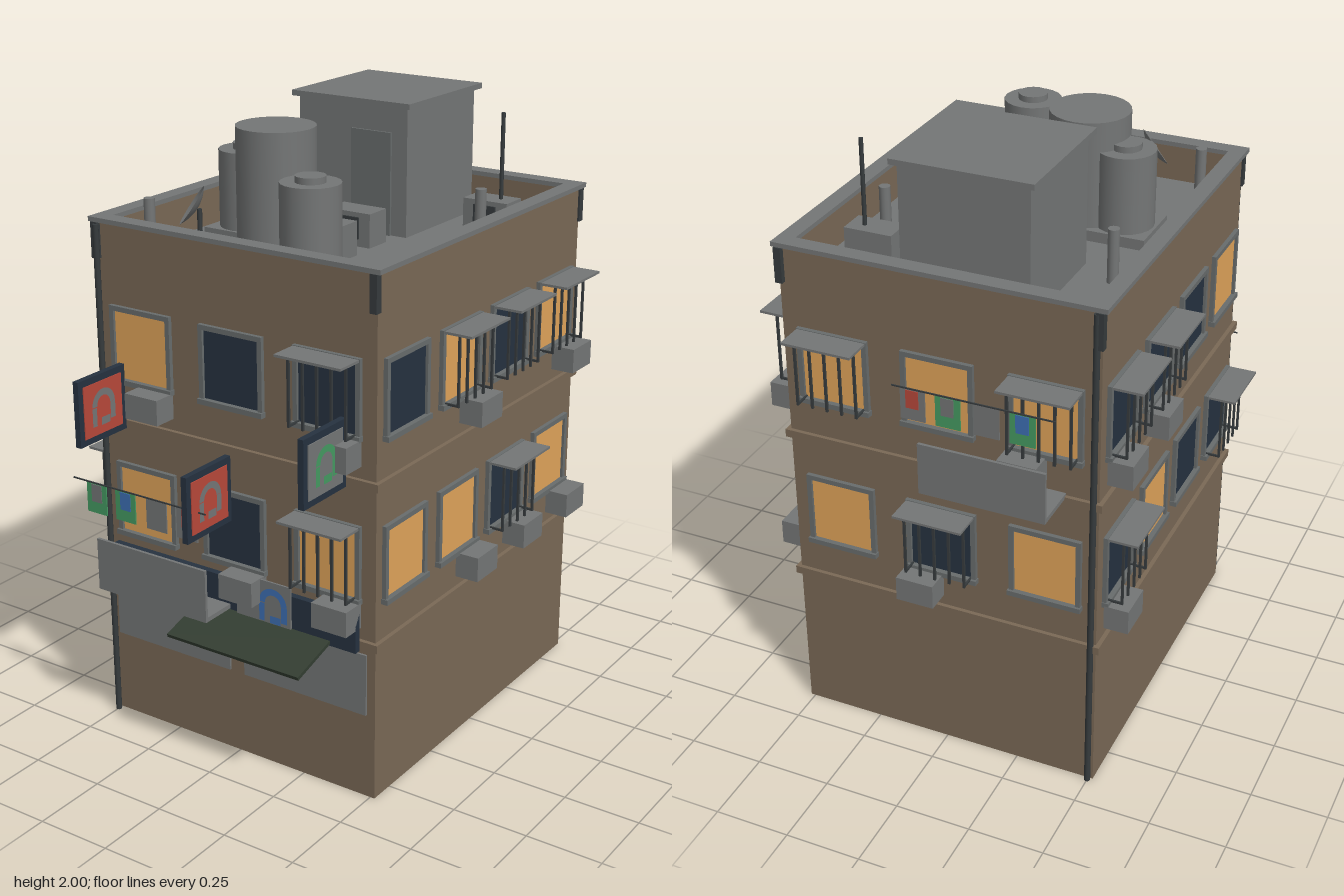
import * as THREE from 'three';

const mat = (name, color) => {
  const m = new THREE.MeshStandardMaterial({ color, side: THREE.DoubleSide });
  m.name = name;
  return m;
};

export function createModel() {
  const wall = mat('brown wall', 0x7a6956), gray = mat('concrete gray', 0x747676), amber = mat('lit amber', 0xe0a45a);
  const navy = mat('dark navy', 0x263240), iron = mat('dark iron', 0x363b3d), canvas = mat('awning green', 0x333d31);
  const red = mat('red', 0xb8483a), green = mat('green', 0x459a62), blue = mat('blue', 0x3d6fb4), frameGray = mat('frame gray', 0x686c6c);
  const root = new THREE.Group();
  root.name = 'apartmentBlock';

  const add = (parent, name, geo, m, x = 0, y = 0, z = 0) => {
    const mesh = new THREE.Mesh(geo, m);
    mesh.name = name;
    mesh.position.set(x, y, z);
    parent.add(mesh);
    return mesh;
  };
  // Box given by its lower and upper limits on each axis
  const box = (parent, name, m, x0, x1, y0, y1, z0, z1) => add(parent, name,
    new THREE.BoxGeometry(x1 - x0, y1 - y0, z1 - z0), m, (x0 + x1) / 2, (y0 + y1) / 2, (z0 + z1) / 2);
  const cyl = (parent, name, m, r, x, z, y0, y1, n = 24) =>
    add(parent, name, new THREE.CylinderGeometry(r, r, y1 - y0, n), m, x, (y0 + y1) / 2, z);
  // Rectangular ring lying flat, as four boxes
  const ring = (name, m, hx, z0, z1, y0, y1, t) => {
    box(root, name, m, -hx, hx, y0, y1, z1 - t, z1);
    box(root, name, m, -hx, hx, y0, y1, z0, z0 + t);
    for (const s of [-1, 1]) box(root, name, m, s > 0 ? hx - t : -hx, s > 0 ? hx : -hx + t, y0, y1, z0 + t, z1 - t);
  };

  // Main walls, parapet, cornice and floor bands
  const X = 0.515, ZF = 0.585, ZB = -0.635;
  box(root, 'walls', wall, -X, X, 0, 1.555, ZB, ZF);
  box(root, 'roofFloor', gray, -X + 0.03, X - 0.03, 1.555, 1.565, ZB + 0.03, ZF - 0.03);
  ring('parapet', wall, X, ZB, ZF, 1.555, 1.685, 0.035);
  ring('cornice', gray, 0.532, -0.648, 0.6, 1.685, 1.7, 0.055);
  for (const y of [0.525, 1.045]) ring('floorBand', wall, 0.529, -0.648, 0.599, y - 0.013, y + 0.013, 0.03);

  // Downpipes and corner brackets
  for (const z of [0.603, -0.645]) cyl(root, 'downpipe', iron, 0.01, -0.5, z, 0, 1.68, 10);
  for (const x of [-0.51, 0.51]) for (const z of [0.59, -0.64])
    box(root, 'cornerBracket', iron, x - 0.012, x + 0.012, 1.57, 1.685, z - 0.012, z + 0.012);

  // Window units: local +z points out of the wall, y = 0 at the lower edge
  const makeWindow = (face, u, y, [pane, caged, cooler], side) => {
    const w = new THREE.Group();
    w.name = 'window';
    w.position.set(u, y, 0);
    face.add(w);
    box(w, 'pane', pane, -0.108, 0.108, 0.012, 0.235, 0, 0.005);
    for (const s of [-1, 1]) box(w, 'frameSide', frameGray, s * 0.11 - 0.008, s * 0.11 + 0.008, 0, 0.245, 0, 0.014);
    box(w, 'frameTop', frameGray, -0.118, 0.118, 0.232, 0.248, 0, 0.014);
    box(w, 'sill', frameGray, -0.121, 0.121, -0.004, 0.013, 0, 0.022);
    if (caged) {
      box(w, 'windowHood', gray, -0.115, 0.115, 0.238, 0.246, 0, 0.108);
      for (let i = 0; i < 5; i++) box(w, 'cageBar', iron, -0.1 + i * 0.05 - 0.004, -0.1 + i * 0.05 + 0.004, 0.01, 0.24, 0.055, 0.062);
      for (const s of [-1, 1]) box(w, 'cageArm', iron, s * 0.1 - 0.003, s * 0.1 + 0.003, 0.01, 0.017, 0, 0.06);
    }
    if (cooler) box(w, 'airConditioner', gray, side * 0.058 - 0.063, side * 0.058 + 0.063, -0.08, 0.002, 0.008, 0.088);
  };
  // Each entry: pane colour, caged, with air conditioner; upper row then lower row
  const A = amber, D = navy;
  const faces = [
    { name: 'frontWindows', rot: 0, p: [0, ZF], us: [-0.347, 0, 0.347], side: 1,
      rows: [[[A, 0, 1], [D, 0, 0], [D, 1, 1]], [[A, 0, 0], [D, 0, 1], [A, 1, 1]]] },
    { name: 'leftWindows', rot: Math.PI / 2, p: [X, 0], us: [-0.434, -0.127, 0.175, 0.476], side: 1,
      rows: [[[D, 0, 0], [A, 1, 1], [D, 1, 0], [A, 1, 1]], [[A, 0, 0], [A, 0, 1], [D, 1, 1], [A, 0, 1]]] },
    { name: 'backWindows', rot: Math.PI, p: [0, ZB], us: [-0.347, 0, 0.347], side: -1,
      rows: [[[A, 1, 0], [A, 0, 0], [A, 1, 1]], [[A, 0, 0], [D, 1, 1], [A, 0, 0]]] },
    { name: 'rightWindows', rot: -Math.PI / 2, p: [-X, 0], us: [-0.476, -0.175, 0.127, 0.434], side: -1,
      rows: [[[D, 1, 1], [D, 1, 1], [D, 0, 0], [A, 0, 0]], [[D, 1, 1], [A, 0, 0], [D, 0, 0], [D, 1, 0]]] },
  ];
  for (const f of faces) {
    const g = new THREE.Group();
    g.name = f.name;
    g.rotation.y = f.rot;
    g.position.set(f.p[0], 0, f.p[1]);
    root.add(g);
    f.rows.forEach((row, r) => row.forEach((spec, i) => makeWindow(g, f.us[i], r ? 0.66 : 1.18, spec, f.side)));
  }

  // Balconies: floor slab with a solid front panel
  box(root, 'frontBalconyFloor', gray, -0.43, 0, 0.525, 0.54, 0.585, 0.745);
  box(root, 'frontBalconyPanel', gray, -0.43, 0, 0.525, 0.7, 0.735, 0.745);
  box(root, 'backBalconyFloor', gray, -0.41, -0.005, 1.05, 1.065, -0.79, -0.635);
  box(root, 'backBalconyPanel', gray, -0.41, -0.005, 1.05, 1.22, -0.79, -0.78);

  // Clotheslines with washing
  const washing = (x0, x1, y, z, items) => {
    box(root, 'clothesline', iron, x0, x1, y - 0.002, y + 0.002, z - 0.002, z + 0.002);
    for (const [x, m, patch] of items) {
      box(root, 'cloth', m, x, x + 0.078, y - 0.1, y - 0.002, z - 0.002, z + 0.002);
      if (patch) box(root, 'clothPatch', patch, x + 0.02, x + 0.06, y - 0.062, y - 0.004, z - 0.004, z + 0.004);
    }
  };
  washing(-0.48, 0.04, 0.912, 0.782, [[-0.425, green, gray], [-0.31, green, blue], [-0.188, gray], [-0.07, gray, red]]);
  washing(-0.46, 0.045, 1.43, -0.835, [[-0.06, gray, red], [-0.17, green, gray], [-0.29, gray], [-0.4, green, blue]]);

  // Ground floor shutters, fascia board and canvas awning
  for (const x of [-0.49, 0.026]) box(root, 'shutter', gray, x, x + 0.46, 0.285, 0.49, 0.585, 0.592);
  box(root, 'fasciaBoard', navy, -0.468, 0.468, 0.505, 0.63, 0.6, 0.622);
  box(root, 'fasciaPanel', gray, 0.03, 0.235, 0.515, 0.66, 0.622, 0.628);
  const awning = add(root, 'shopAwning', new THREE.BoxGeometry(0.495, 0.012, 0.175), canvas, 0.128, 0.492, 0.705);
  awning.rotation.x = 0.28;

  // Abstract painted motif: an arc over a few patches, repeated on signs
  const motif = (parent, m, x, y, z, rot) => {
    const g = new THREE.Group();
    g.name = 'paintedMotif';
    g.position.set(x, y, z);
    g.rotation.y = rot;
    parent.add(g);
    add(g, 'arc', new THREE.RingGeometry(0.03, 0.052, 16, 1, 0, Math.PI), m, 0, 0.008, 0);
    for (const [px, py, w, h] of [[-0.042, -0.025, 0.02, 0.06], [0.042, -0.02, 0.022, 0.055], [0.008, -0.045, 0.04, 0.025]])
      add(g, 'patch', new THREE.PlaneGeometry(w, h), m, px, py, 0);
  };
  motif(root, blue, 0.17, 0.58, 0.63, 0);

  // Projecting blade signs
  for (const [x, y, z, panel, paint] of [[-0.42, 1.14, 0.71, red, gray], [0.415, 1.14, 0.715, gray, green], [0, 0.932, 0.725, red, gray]]) {
    box(root, 'bladeSign', navy, x - 0.01, x + 0.01, y - 0.107, y + 0.107, z - 0.107, z + 0.107);
    for (const s of [-1, 1]) {
      box(root, 'signPanel', panel, x + s * 0.011 - 0.002, x + s * 0.011 + 0.002, y - 0.085, y + 0.085, z - 0.087, z + 0.087);
      motif(root, paint, x + s * 0.0145, y, z, s * Math.PI / 2);
    }
  }

  // Rooftop stair house
  const roofY = 1.565;
  box(root, 'stairHouse', gray, -0.265, 0.147, roofY, 1.985, -0.565, -0.15);
  box(root, 'stairHouseSlab', gray, -0.285, 0.165, 1.982, 2, -0.585, -0.133);
  box(root, 'stairHouseDoor', frameGray, -0.06, 0.09, roofY, 1.9, -0.15, -0.142);

  // Water tanks
  cyl(root, 'largeTank', gray, 0.128, -0.158, 0.132, roofY, 1.945, 24);
  for (const [x, z] of [[-0.292, 0.1], [0.137, 0.367]]) {
    box(root, 'tankStand', gray, x - 0.103, x + 0.103, roofY, 1.6, z - 0.103, z + 0.103);
    cyl(root, 'smallTank', gray, 0.094, x, z, 1.6, 1.85, 20);
    cyl(root, 'tankCap', gray, 0.048, x, z, 1.85, 1.87, 16);
  }

  // Roof cooling units, vents and mast
  for (const [x, z] of [[0.33, -0.38], [0.04, -0.025], [0.05, 0.155]]) {
    box(root, 'roofUnit', gray, x - 0.08, x + 0.08, roofY, 1.675, z - 0.047, z + 0.047);
    box(root, 'roofUnitGrille', iron, x - 0.04, x + 0.04, 1.59, 1.66, z + 0.047, z + 0.053);
  }
  for (const [x, z] of [[-0.385, -0.235], [0.37, -0.235], [-0.42, 0.44]]) cyl(root, 'vent', gray, 0.018, x, z, roofY, 1.74, 12);
  cyl(root, 'mast', iron, 0.007, 0.36, -0.385, roofY, 1.955, 8);

  // Satellite dish
  cyl(root, 'dishPole', iron, 0.008, -0.255, 0.4, roofY, 1.72, 8);
  const bowl = [0, 0.02, 0.04, 0.055, 0.07].map(r => new THREE.Vector2(r, r * r * 4));
  const dish = add(root, 'dish', new THREE.LatheGeometry(bowl, 18), gray, -0.26, 1.72, 0.405);
  dish.quaternion.setFromUnitVectors(new THREE.Vector3(0, 1, 0), new THREE.Vector3(-0.68, 0.56, 0.47).normalize());

  return root;
}
